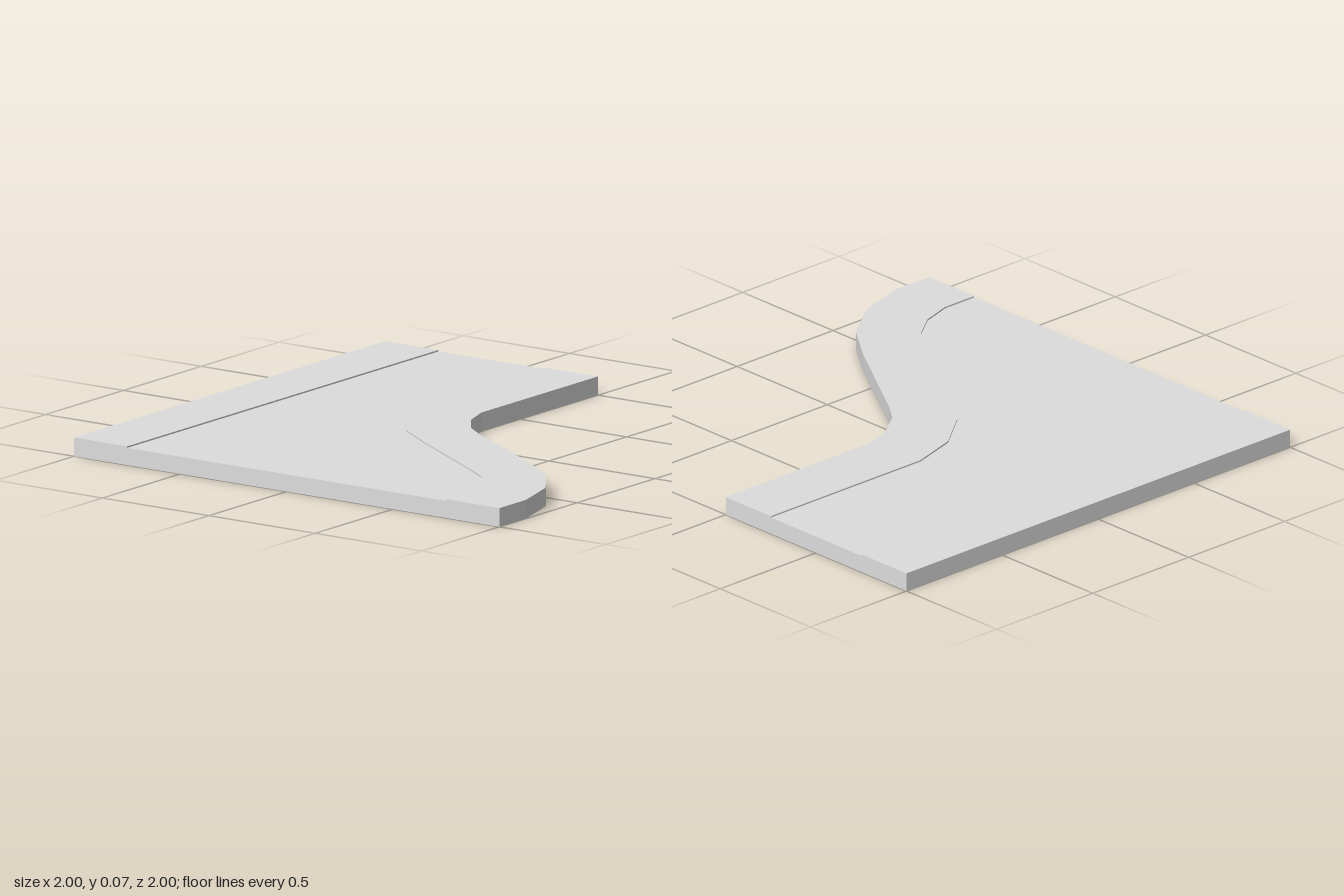
import * as THREE from 'three';

const ROAD_TOP = 0.067;
const WALK_TOP = 0.073;

// Outer edge of the curved walkway, back to front, as [x, z]
const outerEdge = [
  [0, -1], [0, -0.25], [0.04, -0.13], [0.12, -0.02], [0.2, 0.04], [0.63, 0.31],
  [0.81, 0.44], [0.94, 0.62], [1, 0.83], [1, 1],
];

// Kerb line between the road and the curved walkway, back to front
const kerbEdge = [
  [-0.25, -1], [-0.25, -0.22], [-0.19, -0.02], [-0.06, 0.15], [0.11, 0.27],
  [0.53, 0.54], [0.63, 0.61], [0.71, 0.72], [0.75, 0.85], [0.75, 1],
];

// Flat slab standing on y = 0 with a plan outline in x and z
function slab(name, outline, height, material) {
  const shape = new THREE.Shape(outline.map(([x, z]) => new THREE.Vector2(x, -z)));
  const geometry = new THREE.ExtrudeGeometry(shape, { depth: height, bevelEnabled: false });
  geometry.rotateX(-Math.PI / 2);
  const mesh = new THREE.Mesh(geometry, material);
  mesh.name = name;
  return mesh;
}

export function createModel() {
  const model = new THREE.Group();
  model.name = 'roadTile';
  const concrete = new THREE.MeshStandardMaterial({ color: 0xdddddd });
  concrete.name = 'light grey concrete';

  // Road surface, widening towards the front
  model.add(slab('road', [[-0.75, 1], [-0.75, -1], ...kerbEdge], ROAD_TOP, concrete));

  // Straight raised walkway along the right side
  model.add(slab('straightWalkway', [[-1, -1], [-0.75, -1], [-0.75, 1], [-1, 1]], WALK_TOP, concrete));

  // Curved raised walkway sweeping out to the front left corner
  model.add(slab('curvedWalkway', [...outerEdge, ...[...kerbEdge].reverse()], WALK_TOP, concrete));

  return model;
}
